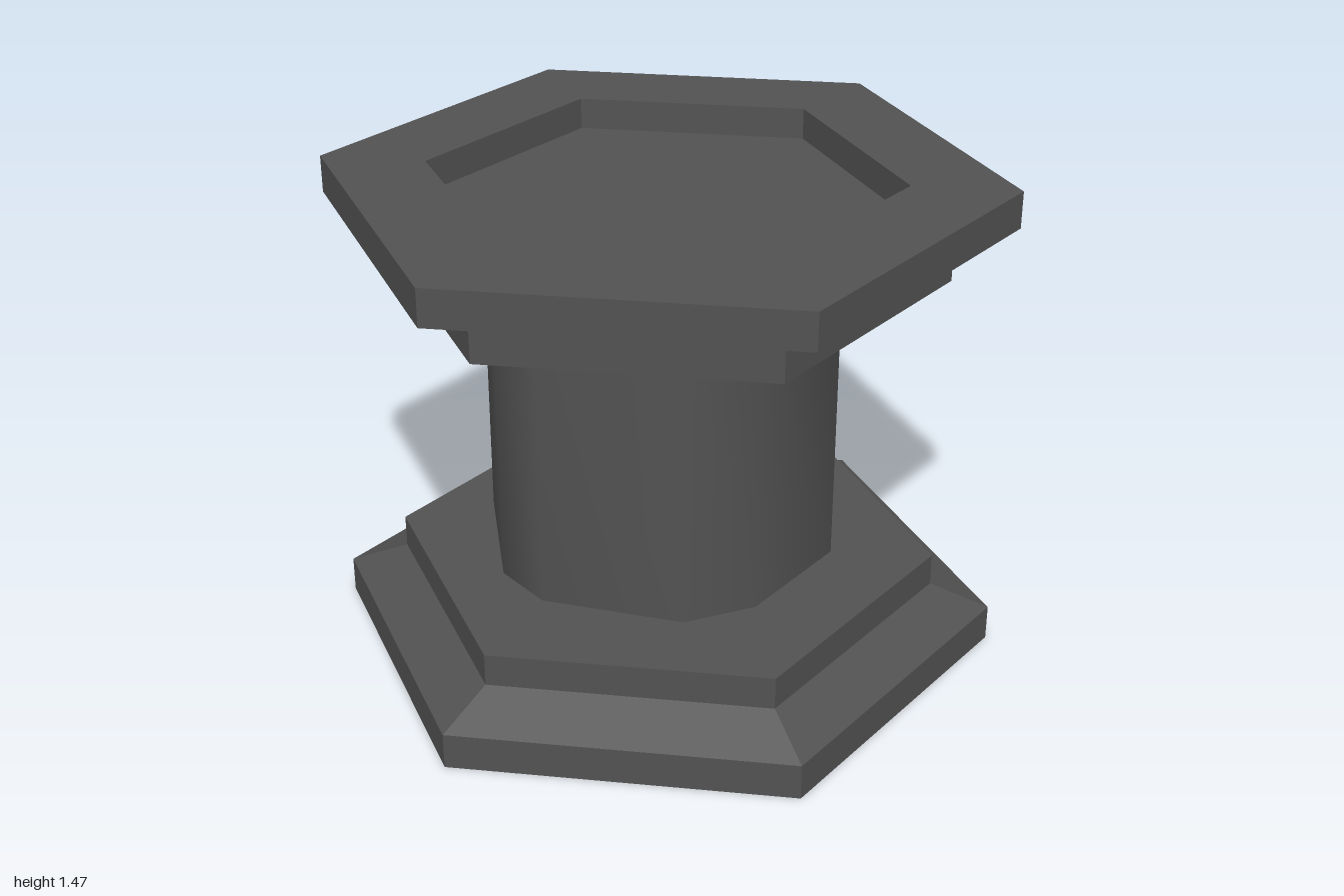
import * as THREE from 'three';

const HEIGHT = 1.47;

// Stepped hexagonal flange with a shallow recess in its outer face
function flangeGeometry() {
  const profile = [
    [0, 0.095], [0.69, 0.095], [0.69, 0], [1, 0],
    [1, 0.11], [0.82, 0.18], [0.82, 0.28], [0, 0.28],
  ].map(([r, y]) => new THREE.Vector2(r, y));
  const geometry = new THREE.LatheGeometry(profile, 6).toNonIndexed();
  geometry.computeVertexNormals(); // one normal per face: crisp edges
  return geometry;
}

// Smooth-shaded column: an uneven nine-sided section carried straight up
function columnGeometry(y0, y1) {
  const section = [
    [-0.555, 0.17], [-0.247, 0.465], [-0.057, 0.507],
    [0.339, 0.345], [0.455, 0.15], [0.455, -0.24],
    [0.15, -0.54], [-0.265, -0.54], [-0.555, -0.24],
  ];
  const n = section.length;
  const positions = [];
  const indices = [];
  for (const y of [y0, y1]) {
    for (const [x, z] of section) positions.push(x, y, z);
  }
  for (let i = 0; i < n; i++) {
    const j = (i + 1) % n;
    indices.push(i, j, n + i, j, n + j, n + i);
  }
  const geometry = new THREE.BufferGeometry();
  geometry.setAttribute('position', new THREE.Float32BufferAttribute(positions, 3));
  geometry.setIndex(indices);
  geometry.computeVertexNormals();
  return geometry;
}

export function createModel() {
  const model = new THREE.Group();
  model.name = 'pedestal';

  const darkGrey = new THREE.MeshStandardMaterial({ color: 0x525252 });
  darkGrey.name = 'dark grey';

  const base = new THREE.Mesh(flangeGeometry(), darkGrey);
  base.name = 'base';

  // The top is the same flange turned upside down
  const top = new THREE.Mesh(base.geometry, darkGrey);
  top.name = 'top';
  top.rotation.x = Math.PI;
  top.position.y = HEIGHT;

  const column = new THREE.Mesh(columnGeometry(0.28, HEIGHT - 0.28), darkGrey);
  column.name = 'column';

  model.add(base, column, top);
  return model;
}
